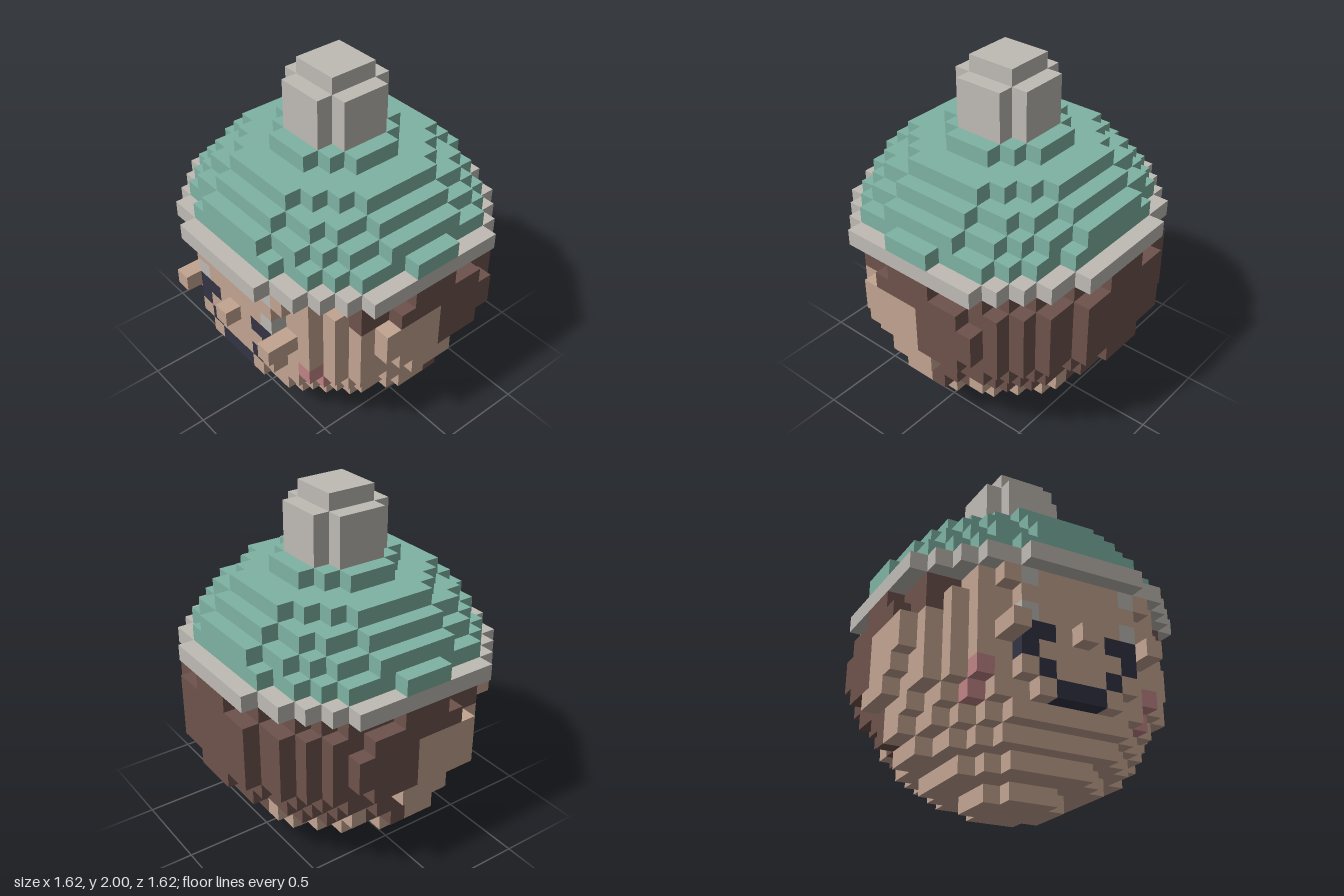
import * as THREE from 'three';

const U = 2 / 21; // size of one block; the figure is 21 layers tall

const mat = (name, color) => new THREE.MeshStandardMaterial({ name, color });

// Each layer lists the half-width in blocks of every row, from the middle row outward.
// A second string gives the rows behind the middle when front and back differ.
const LAYERS = [
  ['221'], ['44432'], ['665543'], ['7766543'], ['77766542'],
  ['88777653', '887776531'],
  ['88877653', '888877653'],
  ['88887653', '888887653'],
  ['88887653', '888887653'],
  ['88877653', '888877653'],
  ['88777554', '887776531'],
  ['888887653'],                                                  // brim
  ['88777653'], ['77766542'], ['6665542'], ['555432'], ['3321'],  // hat
  ['221'], ['221'], ['221'], ['11'],                              // pompom
];

const key = (x, y, z) => `${x},${y},${z}`;

// Which part a block belongs to
function partAt(x, y, z) {
  const a = Math.abs(x);
  if (y >= 17) return 'pompom';
  if (y >= 12) return 'hat';
  if (y === 11) return 'brim';
  // Face details
  if (z === 7) {
    if (y === 7 && (a === 2 || a === 3)) return 'eyes';
    if (y === 6 && a === 3) return 'eyes';
    if ((y === 5 && a === 2) || (y === 4 && a <= 1)) return 'mouth';
    if ((y === 8 || y === 10) && a === 3) return 'eyeHighlights';
  }
  if (a === 5 && ((y === 4 && z === 5) || (y === 5 && z === 6))) return 'cheeks';
  // Hair: a fringe below the brim, a full back and uneven tips
  if (y >= 9) return z <= 4 && Math.abs(x) >= (y === 10 ? 6 : 7) || z <= -1 ? 'hair' : 'head';
  if (y >= 6) return z <= -1 ? 'hair' : 'head';
  if (y === 5) return z <= -2 ? 'hair' : 'head';
  if (y === 4) return z <= -1 && !(z === -3 && a >= 5) ? 'hair' : 'head';
  if (y === 3) {
    const gap = (z === -3 && a >= 5) || (z === -6 && a >= 3);
    return z <= -1 && !gap ? 'hair' : 'head';
  }
  return 'head';
}

function buildBlocks() {
  const blocks = new Map();
  LAYERS.forEach(([front, back = front], y) => {
    for (let z = 1 - back.length; z < front.length; z++) {
      const half = Number(z < 0 ? back[-z] : front[z]);
      for (let x = -half; x <= half; x++) blocks.set(key(x, y, z), [x, y, z, partAt(x, y, z)]);
    }
  });
  // Nose and the two small studs beside the eyes
  blocks.set(key(0, 7, 8), [0, 7, 8, 'nose']);
  for (const x of [-4, 4]) {
    for (const z of [7, 8]) blocks.set(key(x, 7, z), [x, 7, z, 'faceStuds']);
  }
  return blocks;
}

// Outward direction n and two edge directions with s x t = n
const SIDES = [
  [[1, 0, 0], [0, 1, 0], [0, 0, 1]], [[-1, 0, 0], [0, 0, 1], [0, 1, 0]],
  [[0, 1, 0], [0, 0, 1], [1, 0, 0]], [[0, -1, 0], [1, 0, 0], [0, 0, 1]],
  [[0, 0, 1], [1, 0, 0], [0, 1, 0]], [[0, 0, -1], [0, 1, 0], [1, 0, 0]],
];
const CORNERS = [[-1, -1], [1, -1], [1, 1], [-1, -1], [1, 1], [-1, 1]];

// Outer faces of all blocks in one part
function partGeometry(blocks, part) {
  const pos = [], nor = [];
  for (const [x, y, z, p] of blocks.values()) {
    if (p !== part) continue;
    for (const [n, s, t] of SIDES) {
      if (blocks.has(key(x + n[0], y + n[1], z + n[2]))) continue;
      const c = [x, y + 0.5, z];
      for (const [i, j] of CORNERS) {
        for (let k = 0; k < 3; k++) pos.push((c[k] + (n[k] + i * s[k] + j * t[k]) / 2) * U);
        nor.push(...n);
      }
    }
  }
  const g = new THREE.BufferGeometry();
  g.setAttribute('position', new THREE.Float32BufferAttribute(pos, 3));
  g.setAttribute('normal', new THREE.Float32BufferAttribute(nor, 3));
  return g;
}

export function createModel() {
  const skin = mat('skin', 0xc2a491);
  const brown = mat('hair brown', 0x6e524c);
  const green = mat('hat green', 0x7eb3a3);
  const trim = mat('trim grey', 0xbfbab4);
  const dark = mat('dark navy', 0x333344);
  const pink = mat('cheek pink', 0xc08386);
  const shine = mat('eye shine', 0xbab9b4);

  const parts = {
    head: skin, nose: skin, faceStuds: skin, hair: brown, hat: green, brim: trim,
    pompom: trim, eyes: dark, mouth: dark, eyeHighlights: shine, cheeks: pink,
  };
  const blocks = buildBlocks();
  const model = new THREE.Group();
  model.name = 'blockHeadWithHat';
  for (const [name, material] of Object.entries(parts)) {
    const mesh = new THREE.Mesh(partGeometry(blocks, name), material);
    mesh.name = name;
    model.add(mesh);
  }
  return model;
}
